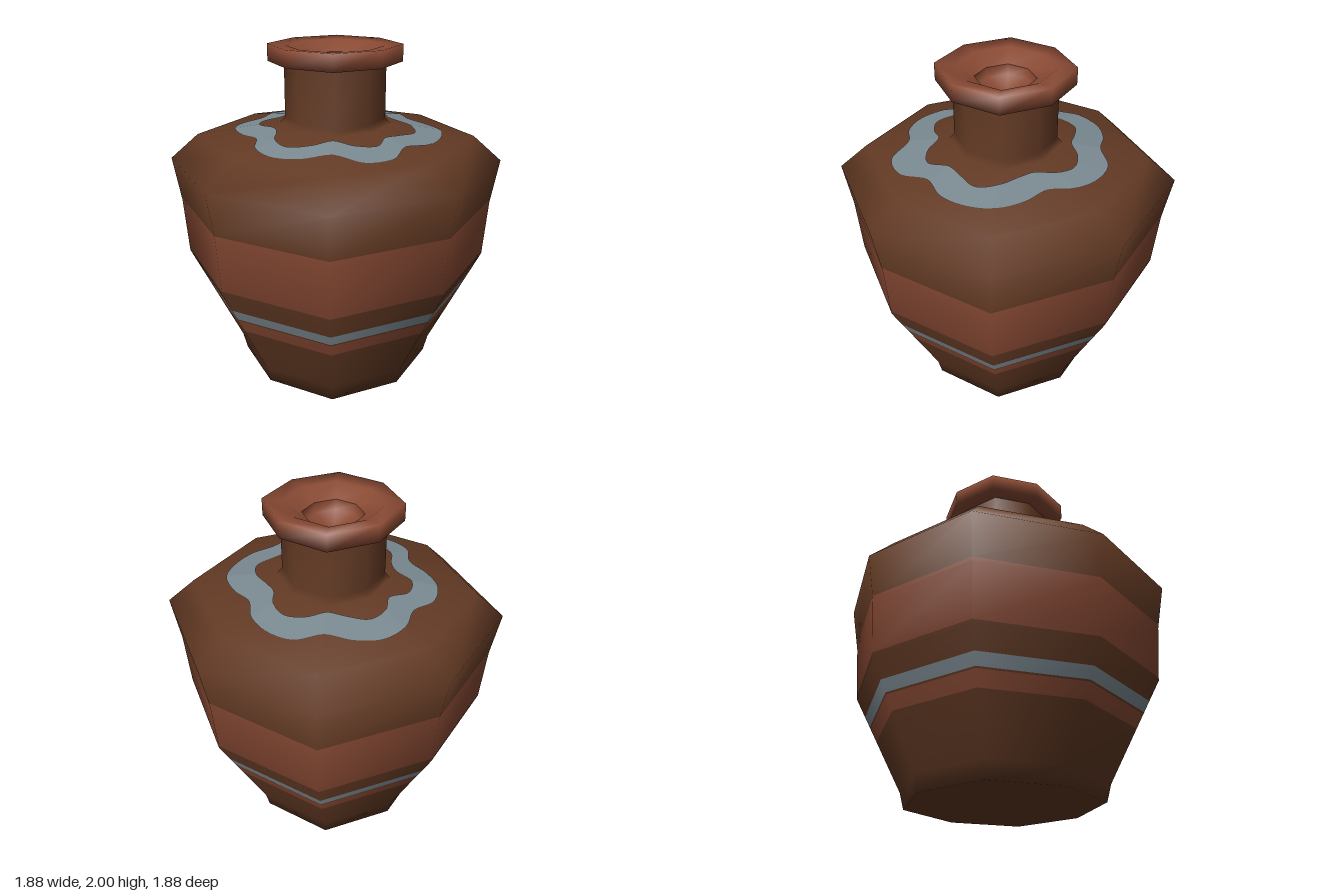
import * as THREE from 'three';

const SIDES = 8;

function material(name, color) {
  const m = new THREE.MeshStandardMaterial({ color });
  m.name = name;
  return m;
}

// Stack of eight-sided rings; profile points are [radius, y], walked so the outside is on the right.
function ringGeometry(profile) {
  const pos = [], index = [];
  for (const [r, y] of profile) {
    for (let j = 0; j < SIDES; j++) {
      const a = (j / SIDES) * Math.PI * 2;
      const s = j % 2 ? 1.06 : 1; // diagonal corners sit a little further out
      pos.push(r * s * Math.cos(a), y, r * s * Math.sin(a));
    }
  }
  for (let i = 0; i < profile.length - 1; i++) {
    for (let j = 0; j < SIDES; j++) {
      const k = (j + 1) % SIDES;
      const a = i * SIDES + j, c = i * SIDES + k, b = a + SIDES, d = c + SIDES;
      index.push(a, b, c, c, b, d);
    }
  }
  const g = new THREE.BufferGeometry();
  g.setAttribute('position', new THREE.Float32BufferAttribute(pos, 3));
  g.setIndex(index);
  g.computeVertexNormals();
  return g;
}

// Cut the body at the given heights, blending positions and normals so shading stays continuous.
function cutBands(profile, cuts, colourAt) {
  const base = ringGeometry(profile);
  const pos = [], nor = [], index = [], heights = [];
  const p = new THREE.Vector3(), q = new THREE.Vector3();
  const addRing = (i, t) => {
    for (const [name, out] of [['position', pos], ['normal', nor]]) {
      const attr = base.getAttribute(name);
      for (let j = 0; j < SIDES; j++) {
        p.fromBufferAttribute(attr, i * SIDES + j);
        if (t > 0) p.lerp(q.fromBufferAttribute(attr, (i + 1) * SIDES + j), t);
        out.push(p.x, p.y, p.z);
      }
    }
    heights.push(pos[pos.length - 2]);
  };
  profile.forEach(([, y], i) => {
    addRing(i, 0);
    if (i === profile.length - 1) return;
    const y2 = profile[i + 1][1];
    cuts.filter((c) => c > y && c < y2).forEach((c) => addRing(i, (c - y) / (y2 - y)));
  });
  const g = new THREE.BufferGeometry();
  for (let i = 0; i < heights.length - 1; i++) {
    g.addGroup(index.length, SIDES * 6, colourAt((heights[i] + heights[i + 1]) / 2));
    for (let j = 0; j < SIDES; j++) {
      const k = (j + 1) % SIDES;
      const a = i * SIDES + j, c = i * SIDES + k, b = a + SIDES, d = c + SIDES;
      index.push(a, b, c, c, b, d);
    }
  }
  g.setAttribute('position', new THREE.Float32BufferAttribute(pos, 3));
  g.setAttribute('normal', new THREE.Float32BufferAttribute(nor, 3));
  g.setIndex(index);
  return g;
}

// Closed wavy curve from radii spaced evenly around the axis.
function waveCurve(radii) {
  return new THREE.CatmullRomCurve3(radii.map((r, i) => {
    const a = (i / radii.length) * Math.PI * 2;
    return new THREE.Vector3(r * Math.cos(a), 0, r * Math.sin(a));
  }), true);
}

// Height of the shoulder facets above a point.
function shoulderY(x, z) {
  const a = Math.max(Math.abs(x), Math.abs(z)), b = Math.min(Math.abs(x), Math.abs(z));
  return 1.46 + ((0.78 - (a + b / 3)) / 0.47) * 0.075;
}

function waveRibbon(outer, inner) {
  const N = 192, pos = [], index = [];
  const curves = [waveCurve(outer), waveCurve(inner)];
  for (let i = 0; i < N; i++) {
    for (const c of curves) {
      const v = c.getPoint(i / N);
      pos.push(v.x, shoulderY(v.x, v.z) + 0.005, v.z);
    }
    const a = i * 2, b = a + 1, c = ((i + 1) % N) * 2, d = c + 1;
    index.push(a, b, c, c, b, d);
  }
  const g = new THREE.BufferGeometry();
  g.setAttribute('position', new THREE.Float32BufferAttribute(pos, 3));
  g.setIndex(index);
  g.computeVertexNormals();
  return g;
}

export function createModel() {
  const brown = material('brownClay', 0x633a24);
  const red = material('redClay', 0x894a34);
  const blue = material('greyBluePaint', 0x7b8a92);

  const group = new THREE.Group();
  group.name = 'vase';
  const add = (name, geometry, mat) => {
    const mesh = new THREE.Mesh(geometry, mat);
    mesh.name = name;
    group.add(mesh);
  };

  // Body and neck, with painted horizontal bands
  const bodyProfile = [
    [0, 0], [0.55, 0], [0.575, 0.1], [0.87, 0.7], [0.895, 1.04], [0.94, 1.31],
    [0.78, 1.46], [0.31, 1.535], [0.28, 1.57], [0.28, 1.91],
  ];
  const bands = [[0.415, 0.5, 1], [0.51, 0.577, 2], [0.72, 1.06, 1]];
  const cuts = bands.flatMap(([lo, hi]) => [lo, hi]);
  const colourAt = (y) => {
    const band = bands.find(([lo, hi]) => y > lo && y < hi);
    return band ? band[2] : 0;
  };
  add('body', cutBands(bodyProfile, cuts, colourAt), [brown, red, blue]);

  // Flared rim with the funnel of the mouth
  add('rim', ringGeometry([
    [0.27, 1.9], [0.37, 1.9], [0.37, 2], [0.27, 1.99], [0.165, 1.93],
  ]), red);
  add('mouth', ringGeometry([[0.165, 1.93], [0.16, 1.87], [0, 1.82]]), red);

  // Wavy ring painted on the shoulder
  add('shoulderWave', waveRibbon(
    [0.56, 0.65, 0.66, 0.57, 0.62, 0.64, 0.6, 0.51, 0.555, 0.6, 0.6, 0.54,
      0.6, 0.62, 0.59, 0.55, 0.61, 0.61, 0.58, 0.52, 0.575, 0.63, 0.63, 0.61],
    [0.41, 0.48, 0.45, 0.39, 0.45, 0.5, 0.46, 0.38, 0.37, 0.45, 0.45, 0.38,
      0.44, 0.46, 0.41, 0.38, 0.43, 0.46, 0.43, 0.37, 0.39, 0.45, 0.48, 0.43],
  ), blue);

  return group;
}
